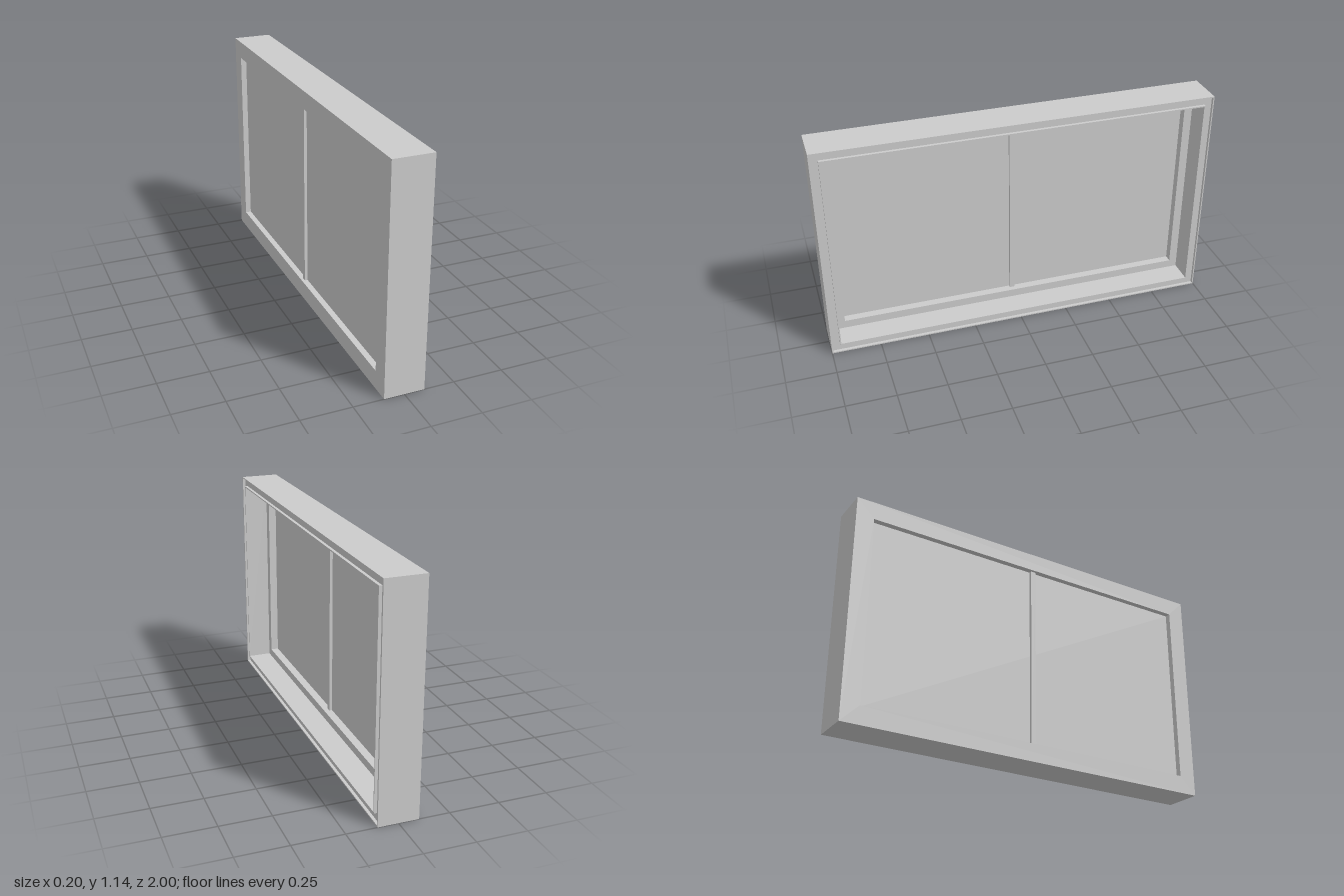
import * as THREE from 'three';

const HEIGHT = 1.14;
const HALF_LENGTH = 1;

// Sweeps a closed [inset, x] profile around the rectangle with mitred corners.
function frameGeometry(profile) {
  const corners = [[1, 0], [-1, 0], [-1, 1], [1, 1]]; // z sign, top or bottom
  const point = ([inset, x], [side, top]) =>
    [x, top ? HEIGHT - inset : inset, side * (HALF_LENGTH - inset)];
  const positions = [];
  profile.forEach((p, i) => {
    const q = profile[(i + 1) % profile.length];
    corners.forEach((c, j) => {
      const d = corners[(j + 1) % 4];
      positions.push(
        ...point(p, c), ...point(p, d), ...point(q, c),
        ...point(p, d), ...point(q, d), ...point(q, c));
    });
  });
  const geometry = new THREE.BufferGeometry();
  geometry.setAttribute('position', new THREE.Float32BufferAttribute(positions, 3));
  geometry.computeVertexNormals();
  return geometry;
}

export function createModel() {
  const model = new THREE.Group();
  model.name = 'window';
  const material = new THREE.MeshStandardMaterial({ color: 0xcccccc });
  const add = (name, geometry, x = 0, y = 0, z = 0) => {
    const mesh = new THREE.Mesh(geometry, material);
    mesh.name = name;
    mesh.position.set(x, y, z);
    model.add(mesh);
  };

  // Deep casing: grooved rim on the +x side, stepped reveal, plain -x face
  add('frame', frameGeometry([
    [0, -0.1], [0, 0.1],
    [0.006, 0.1], [0.006, 0.085], [0.044, 0.085], [0.044, 0.1],
    [0.05, 0.1], [0.05, -0.025],
    [0.092, -0.025], [0.092, -0.1],
  ]));

  // Pane set into the narrow opening, with a central bar on both faces
  const paneX = -0.068;
  const paneHeight = HEIGHT - 2 * 0.092;
  add('pane', new THREE.BoxGeometry(0.004, paneHeight, 2 * (HALF_LENGTH - 0.092)), paneX, HEIGHT / 2);
  add('mullion', new THREE.BoxGeometry(0.034, paneHeight, 0.026), paneX, HEIGHT / 2, 0.002);

  return model;
}
